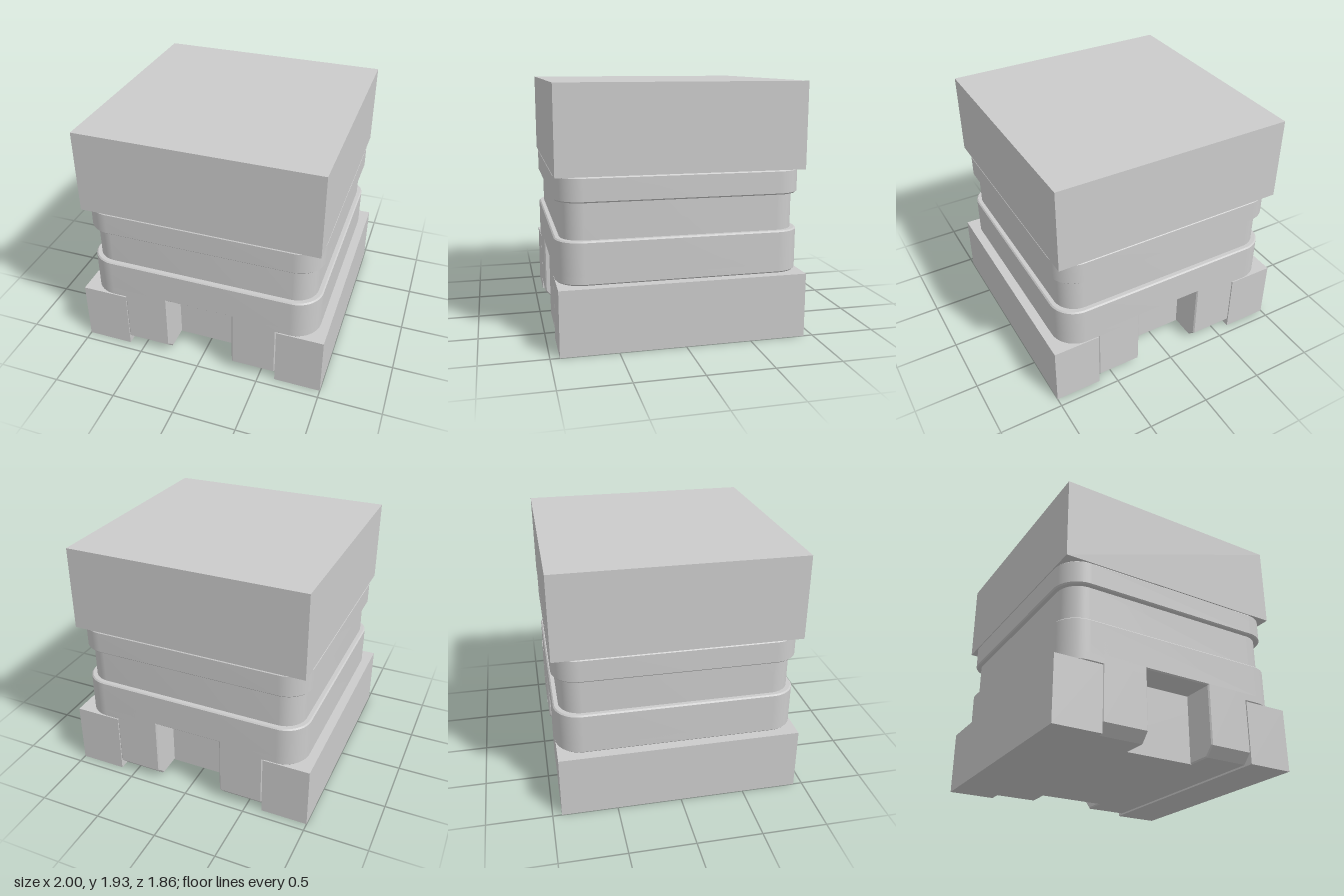
import * as THREE from 'three';
import { toCreasedNormals } from 'three/addons/utils/BufferGeometryUtils.js';

const BEVEL = 0.01;
const HALF = 0.93; // half width of the main body

export function createModel() {
  const group = new THREE.Group();
  const material = new THREE.MeshStandardMaterial({ color: 0xcccccc });

  function add(name, geometry, x = 0, y = 0, z = 0) {
    const mesh = new THREE.Mesh(geometry, material);
    mesh.name = name;
    mesh.position.set(x, y, z);
    group.add(mesh);
    return mesh;
  }

  function box(name, w, y0, y1, d, x = 0) {
    add(name, new THREE.BoxGeometry(w, y1 - y0, d), x, (y0 + y1) / 2, 0);
  }

  // Extrude with small chamfers, keeping the stated outline and length
  function chamferedExtrude(shape, length) {
    const geometry = new THREE.ExtrudeGeometry(shape, {
      depth: length - 2 * BEVEL, curveSegments: 14,
      bevelEnabled: true, bevelSegments: 1,
      bevelSize: BEVEL, bevelThickness: BEVEL, bevelOffset: -BEVEL,
    });
    geometry.translate(0, 0, BEVEL);
    return geometry;
  }

  // Square outline with round corners; notch cuts a recess front and back
  function roundedSquare(h, r, notch) {
    const s = new THREE.Shape();
    s.moveTo(-h + r, -h);
    if (notch) {
      s.lineTo(-notch.w, -h);
      s.lineTo(-notch.w, -notch.z);
      s.lineTo(notch.w, -notch.z);
      s.lineTo(notch.w, -h);
    }
    s.lineTo(h - r, -h);
    s.absarc(h - r, -h + r, r, -Math.PI / 2, 0, false);
    s.lineTo(h, h - r);
    s.absarc(h - r, h - r, r, 0, Math.PI / 2, false);
    if (notch) {
      s.lineTo(notch.w, h);
      s.lineTo(notch.w, notch.z);
      s.lineTo(-notch.w, notch.z);
      s.lineTo(-notch.w, h);
    }
    s.lineTo(-h + r, h);
    s.absarc(-h + r, h - r, r, Math.PI / 2, Math.PI, false);
    s.lineTo(-h, -h + r);
    s.absarc(-h + r, -h + r, r, Math.PI, Math.PI * 1.5, false);
    return s;
  }

  function slab(name, y0, y1, h, r, notch) {
    const geometry = chamferedExtrude(roundedSquare(h, r, notch), y1 - y0);
    geometry.rotateX(-Math.PI / 2);
    add(name, toCreasedNormals(geometry, 0.5), 0, y0, 0);
  }

  // Stacked upper body
  box('topBlock', 2 * HALF, 1.28, 1.93, 2 * HALF);
  slab('upperBand', 1.095, 1.28, HALF, 0.2);
  slab('neck', 0.8, 1.12, 0.89, 0.17);
  slab('lowerBody', 0.55, 0.82, HALF, 0.2);
  slab('lowerBodyNotched', 0.495, 0.58, HALF, 0.2, { w: 0.28, z: 0.66 });

  // Core between the front and back recesses
  box('core', 1.2, 0.01, 0.57, 1.34);

  // Runners beside the recesses, chamfered along their lower ends
  const runner = new THREE.Shape([
    [-HALF + 0.07, 0.01], [HALF - 0.07, 0.01], [HALF, 0.085],
    [HALF, 0.7], [-HALF, 0.7], [-HALF, 0.085],
  ].map(([z, y]) => new THREE.Vector2(z, y)));
  const runnerGeometry = toCreasedNormals(chamferedExtrude(runner, 0.36).rotateY(Math.PI / 2), 0.5);
  add('leftRunner', runnerGeometry, 0.27, 0, 0);
  add('rightRunner', runnerGeometry, -0.63, 0, 0);

  // Square side rails
  for (const side of [-1, 1]) {
    box(side > 0 ? 'leftRail' : 'rightRail', 0.37, 0, 0.495, 2 * HALF, side * 0.815);
  }

  return group;
}
